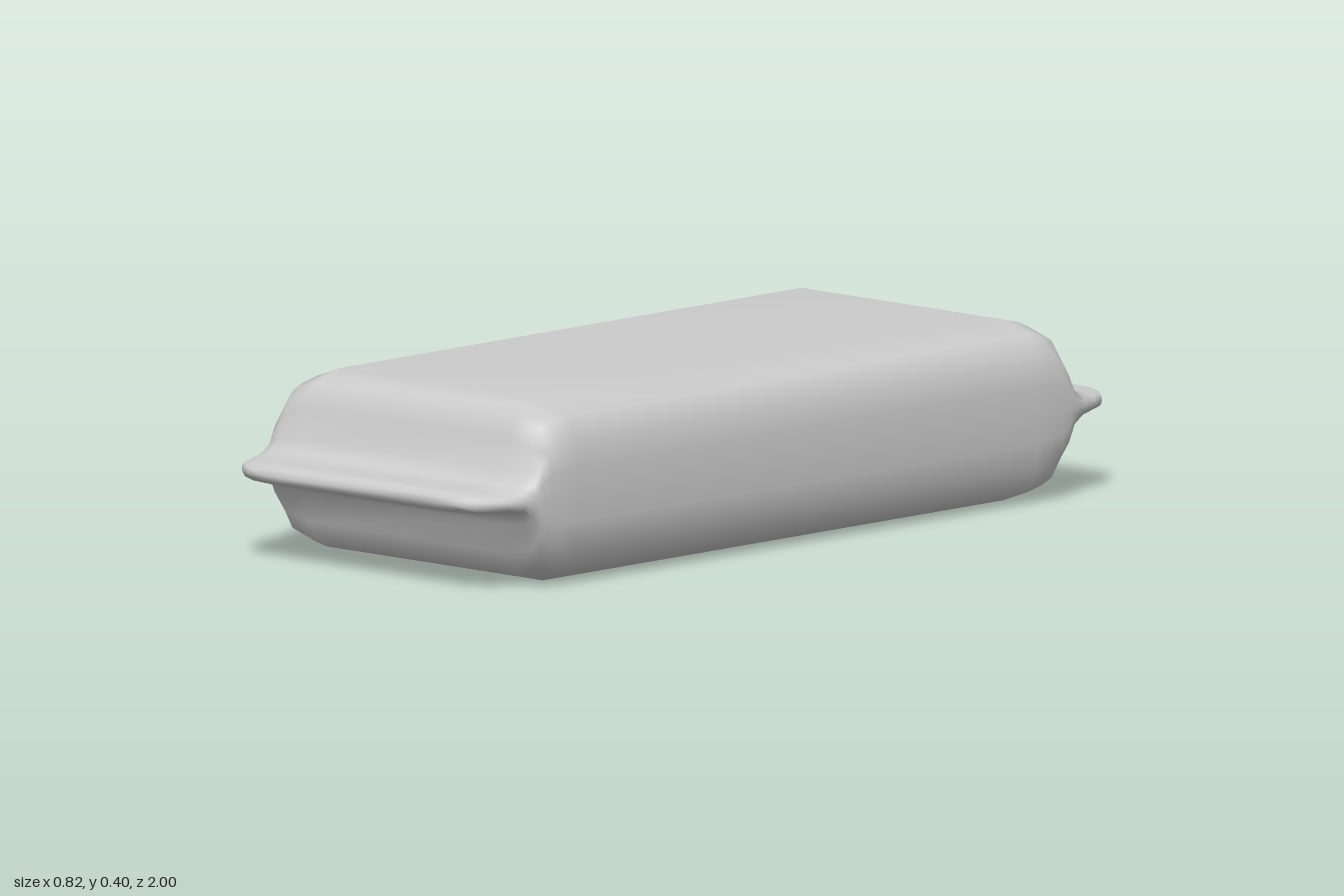
import * as THREE from 'three';
import { mergeVertices } from 'three/addons/utils/BufferGeometryUtils.js';

const CENTER_Y = 0.1975;

// Quarter of the cross-section, as fractions of half width and half height
const quarter = [[1, 0], [0.994, 0.3], [0.98, 0.585], [0.907, 0.873], [0.735, 1]];

// Half of the length: [z, half width, half height], from the middle to the sealed tip
const stations = [
  [0.36, 0.408, 0.1975], [0.72, 0.408, 0.1975], [0.765, 0.407, 0.187],
  [0.8, 0.405, 0.172], [0.825, 0.404, 0.125], [0.845, 0.402, 0.06],
  [0.875, 0.398, 0.032], [0.915, 0.388, 0.024], [0.96, 0.366, 0.024],
  [0.98, 0.345, 0.021], [0.993, 0.318, 0.013], [1, 0.28, 0],
];

// Closed outline, counter-clockwise seen from the front
function outline() {
  const back = [...quarter].reverse();
  return [
    ...quarter,
    ...back.map(([x, y]) => [-x, y]),
    ...quarter.slice(1).map(([x, y]) => [-x, -y]),
    ...back.slice(0, -1).map(([x, y]) => [x, -y]),
  ];
}

// Skin lofted through mirrored stations
function wrapperGeometry() {
  const ring = outline();
  const n = ring.length;
  const rows = [...[...stations].reverse().map(([z, w, h]) => [-z, w, h]), ...stations];
  const positions = [];
  const index = [];
  rows.forEach(([z, w, h], i) => {
    ring.forEach(([x, y], j) => {
      positions.push(x * w, CENTER_Y + y * h, z);
      if (i === rows.length - 1) return;
      const a = i * n + j;
      const b = i * n + ((j + 1) % n);
      index.push(a, b, b + n, a, b + n, a + n);
    });
  });
  let geometry = new THREE.BufferGeometry();
  geometry.setAttribute('position', new THREE.Float32BufferAttribute(positions, 3));
  geometry.setIndex(index);
  geometry = mergeVertices(geometry, 1e-5);
  geometry.computeVertexNormals();
  return geometry;
}

export function createModel() {
  const group = new THREE.Group();
  group.name = 'wrappedBar';
  const lightGrey = new THREE.MeshStandardMaterial({ color: 0xcccccc });
  lightGrey.name = 'lightGrey';

  // Padded body with a flat crimped seal at each end
  const wrapper = new THREE.Mesh(wrapperGeometry(), lightGrey);
  wrapper.name = 'wrapper';
  group.add(wrapper);
  return group;
}
